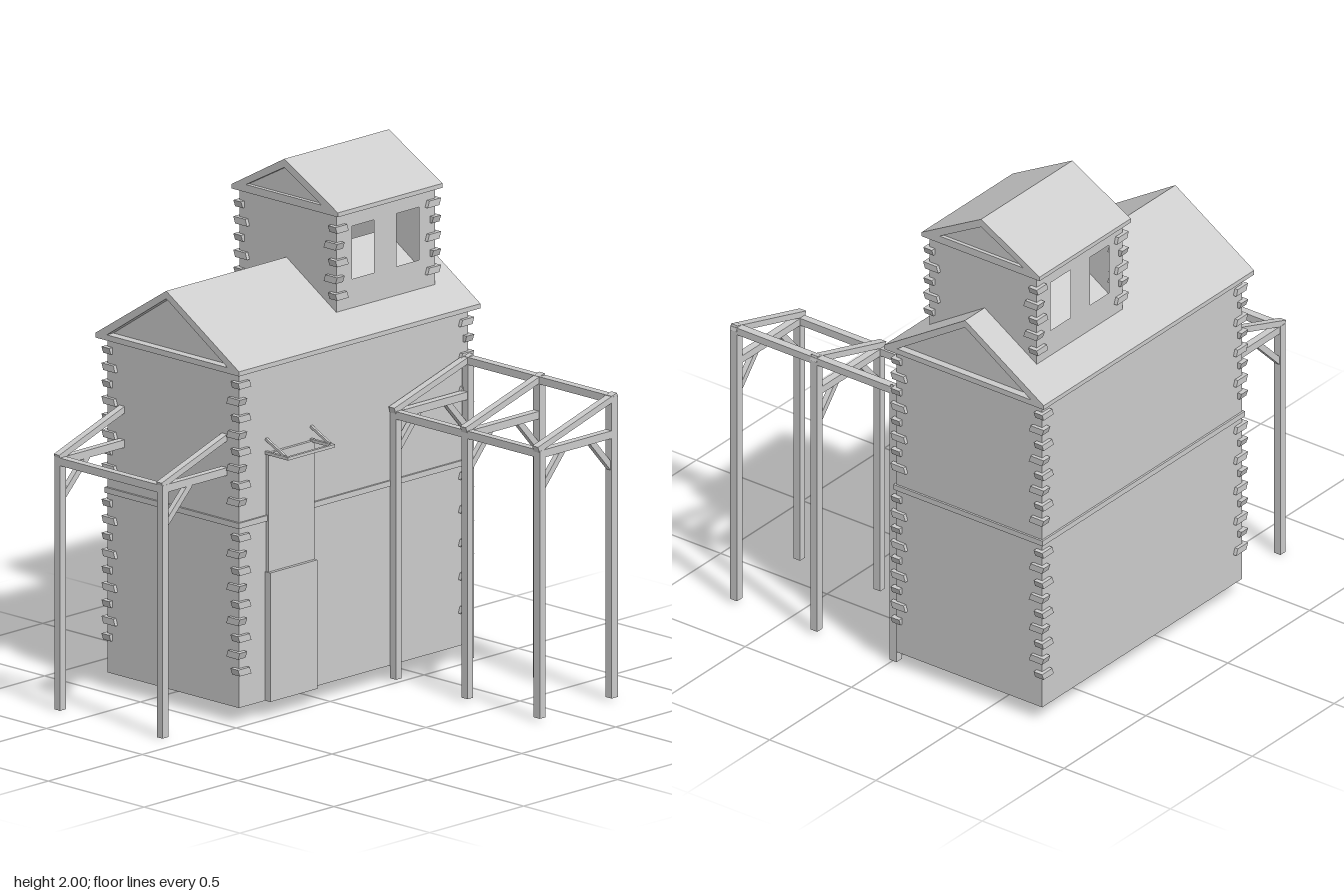
import * as THREE from 'three';

const mat = new THREE.MeshStandardMaterial({ color: 0xcccccc, flatShading: true });
const sheet = new THREE.MeshStandardMaterial({ color: 0xcccccc, flatShading: true, side: THREE.DoubleSide });

function add(parent, name, geo, m = mat) {
  const mesh = new THREE.Mesh(geo, m);
  mesh.name = name;
  parent.add(mesh);
  return mesh;
}

// Box given by its min and max corners
function block(parent, name, x0, x1, y0, y1, z0, z1) {
  const mesh = add(parent, name, new THREE.BoxGeometry(x1 - x0, y1 - y0, z1 - z0));
  mesh.position.set((x0 + x1) / 2, (y0 + y1) / 2, (z0 + z1) / 2);
  return mesh;
}

// Sloping timber lying in a plane of constant z
function timber(parent, name, x0, y0, x1, y1, z, h, d) {
  const mesh = add(parent, name, new THREE.BoxGeometry(Math.hypot(x1 - x0, y1 - y0), h, d));
  mesh.position.set((x0 + x1) / 2, (y0 + y1) / 2, z);
  mesh.rotation.z = Math.atan2(y1 - y0, x1 - x0);
  return mesh;
}

const poly = (pts) => new THREE.Shape(pts.map((p) => new THREE.Vector2(...p)));

// Gabled roof: triangular section with a recess, run along x. Section points are (-z, y).
function roof(parent, name, x0, x1, outer, inner) {
  const shape = poly(outer);
  shape.holes.push(poly(inner));
  const geo = new THREE.ExtrudeGeometry(shape, { depth: x1 - x0, bevelEnabled: false });
  geo.rotateY(Math.PI / 2).translate(x0, 0, 0);
  add(parent, name, geo);
}

// Thin walls with gable ends, open underneath
function walls(parent, [x0, x1, y0, y1, z0, z1], ridge, windows = []) {
  for (const z of [z1, z0]) {
    const shape = poly([[x0, y0], [x1, y0], [x1, y1], [x0, y1]]);
    for (const [a, b, c, d] of windows) shape.holes.push(poly([[a, c], [a, d], [b, d], [b, c]]));
    add(parent, z === z1 ? 'frontWall' : 'backWall', new THREE.ShapeGeometry(shape), sheet).position.z = z;
  }
  for (const x of [x0, x1]) {
    const shape = poly([[-z1, y0], [-z0, y0], [-z0, y1], [-(z0 + z1) / 2, ridge], [-z1, y1]]);
    add(parent, x === x1 ? 'leftWall' : 'rightWall', new THREE.ShapeGeometry(shape).rotateY(Math.PI / 2), sheet).position.x = x;
  }
}

// Staggered log ends at all four corners, slightly skewed
function logEnds(parent, [x0, x1, , , z0, z1], heights) {
  const group = new THREE.Group();
  group.name = 'cornerLogEnds';
  for (const [x, sx] of [[x0, -1], [x1, 1]]) for (const [z, sz] of [[z0, -1], [z1, 1]]) {
    heights.forEach((y, i) => {
      const long = i % 2 === 0;
      const w = long ? 0.062 : 0.04, d = long ? 0.04 : 0.062;
      const geo = new THREE.BoxGeometry(w, 0.026, d);
      const p = geo.attributes.position;
      for (let k = 0; k < p.count; k++) {
        const skew = p.getY(k) * 0.35;
        if (long) p.setX(k, p.getX(k) + sx * skew);
        else p.setZ(k, p.getZ(k) + sz * skew);
      }
      geo.computeVertexNormals();
      add(group, 'logEnd', geo).position.set(x + sx * (0.014 - w / 2), y, z + sz * (0.014 - d / 2));
    });
  }
  parent.add(group);
}

export function createModel() {
  const model = new THREE.Group();
  const part = (name) => {
    const g = new THREE.Group();
    g.name = name;
    model.add(g);
    return g;
  };

  // Main building
  const house = part('mainBuilding');
  const body = [-0.45, 0.77, 0.06, 1.37, -0.72, -0.035];
  walls(house, body, 1.595);
  const rows = (start, n) => Array.from({ length: n }, (_, i) => start + i * 0.065);
  logEnds(house, body, [...rows(0.2, 9), ...rows(0.857, 8)]);
  roof(house, 'mainRoof', -0.485, 0.8,
    [[0, 1.36], [0.75, 1.36], [0.75, 1.378], [0.38, 1.615], [0, 1.378]],
    [[0.06, 1.382], [0.38, 1.585], [0.69, 1.382]]);

  // Belt course round the walls
  for (const z of [-0.72, -0.035]) block(house, 'belt', -0.458, 0.778, 0.757, 0.779, z - 0.008, z + 0.008);
  for (const x of [-0.45, 0.77]) block(house, 'belt', x - 0.008, x + 0.008, 0.757, 0.779, -0.728, -0.027);

  // Tower on the roof
  const tower = part('tower');
  const top = [0.155, 0.68, 1.44, 1.84, -0.625, -0.12];
  walls(tower, top, 1.975, [[0.24, 0.355, 1.565, 1.77], [0.475, 0.595, 1.565, 1.77]]);
  logEnds(tower, top, rows(1.515, 5));
  roof(tower, 'towerRoof', 0.138, 0.695,
    [[0.095, 1.83], [0.65, 1.83], [0.65, 1.847], [0.375, 2], [0.095, 1.847]],
    [[0.18, 1.86], [0.375, 1.967], [0.575, 1.86]]);

  // Front door with a stepped lower panel and a small hanging frame
  const door = part('doorway');
  block(door, 'upperPanel', -0.305, -0.06, 0.56, 1.02, -0.045, -0.022);
  block(door, 'lowerPanel', -0.31, -0.06, 0.06, 0.56, -0.045, -0.008);
  block(door, 'frameFront', -0.31, -0.065, 1.015, 1.027, 0.073, 0.085);
  for (const x of [-0.305, -0.066]) {
    block(door, 'frameArm', x - 0.006, x + 0.006, 1.015, 1.027, -0.035, 0.085);
    const stay = block(door, 'frameStay', x - 0.005, x + 0.005, 1.045, 1.055, -0.04, 0.07);
    stay.rotation.x = 0.45;
  }

  // Front shelter: three frames joined by long beams
  const porch = part('frontShelter');
  for (const z of [0.735, 0.358, -0.015]) {
    block(porch, 'outerPost', 0.35, 0.38, 0.012, 1.05, z - 0.016, z + 0.016);
    block(porch, 'innerPost', 0.732, 0.765, 0.012, 1.18, z - 0.016, z + 0.016);
    block(porch, 'tieBeam', 0.35, 0.75, 1.02, 1.05, z - 0.015, z + 0.015);
    timber(porch, 'rafter', 0.345, 1.055, 0.765, 1.18, z, 0.024, 0.03);
    timber(porch, 'brace', 0.37, 0.9, 0.485, 1.03, z, 0.024, 0.022);
    timber(porch, 'brace', 0.745, 0.9, 0.63, 1.03, z, 0.024, 0.022);
  }
  block(porch, 'lowBeam', 0.35, 0.38, 1.022, 1.052, -0.03, 0.75);
  block(porch, 'highBeam', 0.732, 0.765, 1.155, 1.184, -0.03, 0.75);

  // Side shelter: two frames against the wall
  const side = part('sideShelter');
  for (const z of [-0.11, -0.645]) {
    block(side, 'post', -0.795, -0.763, 0, 0.97, z - 0.015, z + 0.015);
    block(side, 'tieBeam', -0.78, -0.45, 0.95, 0.98, z - 0.014, z + 0.014);
    timber(side, 'rafter', -0.795, 0.98, -0.44, 1.1, z, 0.024, 0.028);
    timber(side, 'brace', -0.775, 0.82, -0.64, 0.955, z, 0.024, 0.022);
  }
  block(side, 'longBeam', -0.795, -0.763, 0.95, 0.98, -0.66, -0.095);

  return model;
}
